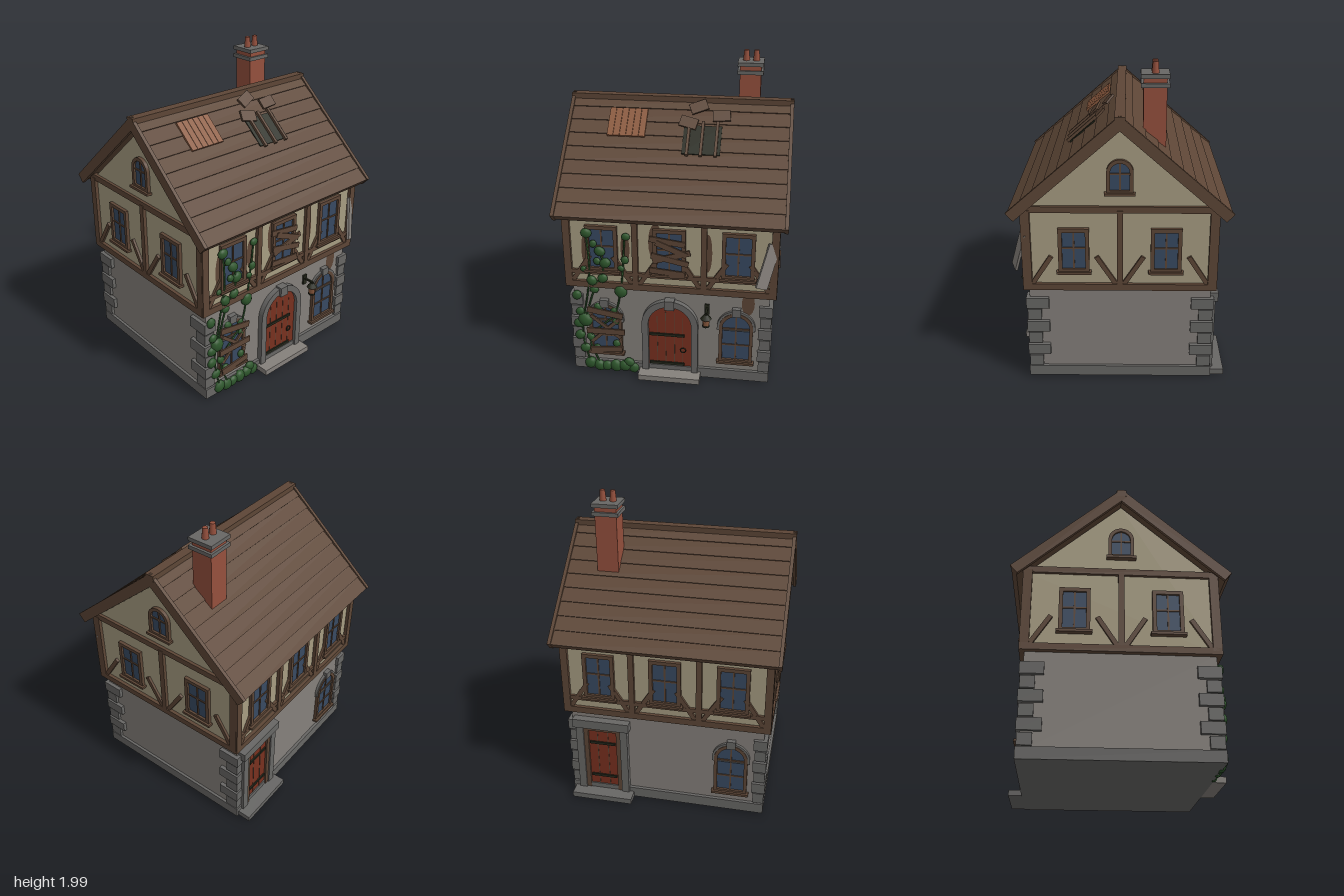
import * as THREE from 'three';

const mat = (name, color) => {
  const m = new THREE.MeshStandardMaterial({ color });
  m.name = name;
  return m;
};

export function createModel() {
  const stone = mat('wall stone', 0x85807b), trim = mat('trim stone', 0x686765);
  const plaster = mat('plaster', 0xa79d82), wood = mat('weathered wood', 0x5d4636);
  const patchMat = mat('new tile', 0x8b5a3e), brick = mat('brick', 0x95503d);
  const red = mat('door red', 0x78301f), glass = mat('glass', 0x384a62);
  const leaf = mat('leaf', 0x2d552b), iron = mat('dark iron', 0x23261a);

  const house = new THREE.Group();
  house.name = 'house';

  // ---- helpers ----
  const group = (parent, name) => {
    const g = new THREE.Group();
    g.name = name;
    parent.add(g);
    return g;
  };
  const add = (parent, name, geo, m, x = 0, y = 0, z = 0) => {
    const o = new THREE.Mesh(geo, m);
    o.name = name;
    o.position.set(x, y, z);
    parent.add(o);
    return o;
  };
  const box = (parent, name, m, w, h, d, x, y, z) =>
    add(parent, name, new THREE.BoxGeometry(w, h, d), m, x, y, z);
  // straight timber between two points on a wall face
  const plank = (parent, name, m, x1, y1, x2, y2, w, d, z) => {
    const o = box(parent, name, m, Math.hypot(x2 - x1, y2 - y1), w, d, (x1 + x2) / 2, (y1 + y2) / 2, z);
    o.rotation.z = Math.atan2(y2 - y1, x2 - x1);
    return o;
  };
  const extrude = (shape, depth) =>
    new THREE.ExtrudeGeometry(shape, { depth, bevelEnabled: false, curveSegments: 14 });
  // arched outline: half width r, foot y0, springing y1
  const arch = (r, y0, y1, C = THREE.Shape) => {
    const s = new C();
    s.moveTo(-r, y0);
    s.lineTo(r, y0);
    s.lineTo(r, y1);
    s.absarc(0, y1, r, 0, Math.PI, false);
    s.closePath();
    return s;
  };
  const archRing = (r, t, y0, y1, depth, bottom = 0) => {
    const s = arch(r, y0, y1);
    s.holes.push(arch(r - t, y0 + bottom, y1, THREE.Path));
    return extrude(s, depth);
  };
  // wall face: local z points outwards
  const face = (name, angle) => {
    const g = group(house, name);
    g.rotation.y = angle;
    return g;
  };

  // ---- windows ----
  const squareWindow = (parent, x, y0, w, h, z) => {
    const g = group(parent, 'window');
    g.position.set(x, y0, z);
    box(g, 'pane', glass, w - 0.03, h - 0.03, 0.008, 0, h / 2, 0.004);
    for (const s of [-1, 1]) {
      box(g, 'jamb', wood, 0.024, h, 0.022, s * (w / 2 - 0.012), h / 2, 0.011);
      box(g, 'rail', wood, w, 0.024, 0.022, 0, h / 2 + s * (h / 2 - 0.012), 0.011);
    }
    box(g, 'mullion', wood, 0.01, h - 0.04, 0.014, 0, h / 2, 0.007);
    box(g, 'glazingBar', wood, w - 0.04, 0.01, 0.014, 0, h * 0.55, 0.007);
    box(g, 'sill', wood, w + 0.025, 0.016, 0.036, 0, 0, 0.018);
  };
  const archedWindow = (parent, x, y0, r, spring, z, hood) => {
    const g = group(parent, 'archedWindow');
    g.position.set(x, 0, z);
    add(g, 'pane', extrude(arch(r - 0.012, y0 + 0.01, spring), 0.008), glass);
    add(g, 'frame', archRing(r, 0.022, y0, spring, 0.022, 0.022), wood);
    box(g, 'mullion', wood, 0.01, spring + r - y0 - 0.03, 0.014, 0, (spring + r + y0) / 2, 0.007);
    box(g, 'glazingBar', wood, 2 * r - 0.03, 0.01, 0.014, 0, spring - 0.01, 0.007);
    box(g, 'sill', wood, 2 * r + 0.025, 0.016, 0.036, 0, y0, 0.018);
    if (!hood) return;
    box(g, 'lowerGlazingBar', wood, 2 * r - 0.03, 0.01, 0.014, 0, (y0 + spring) / 2, 0.007);
    add(g, 'stoneHood', archRing(r + 0.014, 0.016, spring - 0.02, spring, 0.018), trim);
    box(g, 'keystone', trim, 0.055, 0.055, 0.03, 0, spring + r + 0.008, 0.015);
  };

  // ---- walls ----
  box(house, 'plinth', trim, 1.275, 0.07, 1.15, 0, 0.055, 0);
  box(house, 'groundFloorWall', stone, 1.24, 0.6, 1.11, 0, 0.36, 0);
  const section = new THREE.Shape([[-0.563, 0.655], [0.563, 0.655], [0.563, 1.16], [0, 1.655], [-0.563, 1.16]]
    .map(p => new THREE.Vector2(...p)));
  add(house, 'upperWall', extrude(section, 1.28).rotateY(Math.PI / 2).translate(-0.64, 0, 0), plaster);

  // corner stones, alternating long and short
  const quoins = group(house, 'quoins');
  for (let i = 0; i < 6; i++) {
    const long = i % 2, w = long ? 0.085 : 0.07, d = long ? 0.14 : 0.085, out = long ? 0.006 : 0;
    for (const sx of [-1, 1]) for (const sz of [-1, 1])
      box(quoins, 'quoin', trim, w, 0.072, d, sx * (0.638 + out - w / 2), 0.133 + i * 0.0825, sz * (0.57 + out - d / 2));
  }

  // ---- timber framing on the four sides ----
  const framing = (f, half, dist, posts, rail) => {
    const z = dist + 0.004;
    box(f, 'sillBeam', wood, 2 * half, 0.042, 0.036, 0, 0.67, z);
    box(f, 'topBeam', wood, 2 * half, 0.04, 0.03, 0, 1.175, z);
    if (rail) box(f, 'midRail', wood, 2 * half, 0.028, 0.026, 0, 0.755, z);
    posts.forEach((x, i) => {
      const edge = i === 0 || i === posts.length - 1;
      box(f, 'post', wood, edge ? 0.046 : 0.036, 0.5, 0.036, x, 0.92, z);
      if (i > 0) plank(f, 'brace', wood, x - 0.025, 0.69, x - 0.14, 0.87, 0.028, 0.024, z);
      if (i < posts.length - 1) plank(f, 'brace', wood, x + 0.025, 0.69, x + 0.14, 0.87, 0.028, 0.024, z);
    });
  };
  const front = face('frontSide', 0), back = face('backSide', Math.PI);
  for (const f of [front, back]) {
    framing(f, 0.66, 0.563, [-0.637, -0.212, 0.212, 0.637], true);
    for (const x of [-0.42, 0, 0.42]) squareWindow(f, x, 0.77, 0.2, 0.31, 0.563);
  }
  for (const s of [-1, 1]) {
    const f = face(s > 0 ? 'leftGableSide' : 'rightGableSide', s * Math.PI / 2);
    framing(f, 0.575, 0.64, [-0.552, 0, 0.552], false);
    for (const x of [-0.275, 0.275]) squareWindow(f, x, 0.77, 0.185, 0.285, 0.64);
    archedWindow(f, 0, 1.275, 0.078, 1.405, 0.64, false);
  }
  archedWindow(front, -0.42, 0.155, 0.107, 0.415, 0.555, true);
  archedWindow(front, 0.42, 0.155, 0.107, 0.415, 0.555, true);
  archedWindow(back, 0.42, 0.155, 0.107, 0.415, 0.555, true);

  // ---- front door ----
  const door = group(front, 'frontDoor');
  door.position.z = 0.555;
  add(door, 'doorLeaf', extrude(arch(0.142, 0.055, 0.405), 0.012), red);
  add(door, 'doorSurround', archRing(0.18, 0.042, 0.055, 0.405, 0.035), trim);
  for (const x of [-0.083, -0.028, 0.028, 0.083])
    box(door, 'plankGap', wood, 0.004, 0.45 - Math.abs(x) * 0.6, 0.004, x, 0.285 - Math.abs(x) * 0.3, 0.012);
  for (const y of [0.105, 0.325]) box(door, 'strapHinge', iron, 0.225, 0.018, 0.01, -0.02, y, 0.016);
  add(door, 'ringHandle', new THREE.TorusGeometry(0.017, 0.004, 6, 16), iron, 0.085, 0.215, 0.018);
  box(door, 'keystone', trim, 0.062, 0.065, 0.05, 0, 0.562, 0.025);
  box(front, 'frontStep', stone, 0.4, 0.037, 0.12, 0, 0.039, 0.6);

  // ---- back door ----
  const rear = group(back, 'backDoor');
  rear.position.set(-0.42, 0, 0.555);
  box(rear, 'doorLeaf', red, 0.22, 0.47, 0.012, 0, 0.3, 0.006);
  for (const s of [-1, 1]) {
    box(rear, 'stoneJamb', trim, 0.048, 0.49, 0.036, s * 0.146, 0.305, 0.018);
    box(rear, 'woodJamb', wood, 0.03, 0.49, 0.026, s * 0.108, 0.305, 0.013);
    box(rear, 'plankGap', wood, 0.005, 0.45, 0.004, s * 0.035, 0.3, 0.013);
  }
  box(rear, 'woodHead', wood, 0.22, 0.03, 0.026, 0, 0.53, 0.013);
  box(rear, 'stoneLintel', trim, 0.37, 0.06, 0.05, 0, 0.575, 0.025);
  for (const y of [0.16, 0.42]) box(rear, 'strapHinge', iron, 0.17, 0.018, 0.01, 0, y, 0.016);
  box(back, 'backStep', trim, 0.4, 0.037, 0.12, -0.42, 0.039, 0.6);

  // ---- roof: each slope is a group with z down the slope and y outwards ----
  const L = 0.868, N = 9, W = 1.39;
  const slopes = [0, Math.PI].map((a, k) => {
    const turn = group(house, k ? 'backRoof' : 'frontRoof');
    turn.rotation.y = a;
    const g = group(turn, 'slope');
    g.position.y = 1.735;
    g.rotation.x = 0.7208;
    const p = new THREE.Shape();
    p.moveTo(0, -0.045);
    p.lineTo(L, -0.045);
    for (let i = N; i > 0; i--) {
      p.lineTo(L * i / N, 0.004);
      p.lineTo(L * (i - 1) / N, -0.003);
    }
    p.closePath();
    add(g, 'roofCourses', extrude(p, W).rotateY(-Math.PI / 2).translate(W / 2, 0, 0), wood);
    for (const s of [-1, 1]) box(g, 'bargeBoard', wood, 0.022, 0.066, L + 0.004, s * 0.693, -0.022, L / 2);
    return g;
  });
  box(house, 'ridgeCap', wood, 1.41, 0.045, 0.06, 0, 1.72, 0);

  // repaired patch, hole with bare rafters, and slipped tiles
  const slope = slopes[0];
  for (let i = 0; i < 6; i++)
    box(slope, 'patchSlat', patchMat, 0.038, 0.014, 0.2, -0.42 + i * 0.04, 0.006, 0.205);
  box(slope, 'roofHole', iron, 0.235, 0.008, 0.2, 0.155, 0.003, 0.31);
  for (const x of [0.07, 0.155, 0.245]) box(slope, 'bareRafter', wood, 0.018, 0.02, 0.24, x, 0.014, 0.305);
  [[0.12, 0.085, 0.4], [0.065, 0.2, -0.25], [0.265, 0.145, 0.08]].forEach(([x, s, r]) => {
    const t = box(slope, 'slippedTile', wood, 0.11, 0.014, 0.07, x, 0.024, s);
    t.rotation.set(0.12, r, 0);
  });

  // ---- chimney ----
  const chimney = group(house, 'chimney');
  chimney.position.set(0.422, 0, -0.2);
  box(chimney, 'stack', brick, 0.135, 0.53, 0.135, 0, 1.655, 0);
  for (const y of [1.87, 1.922]) box(chimney, 'stoneBand', trim, 0.165, 0.024, 0.165, 0, y, 0);
  for (const s of [-1, 1])
    add(chimney, 'chimneyPot', new THREE.CylinderGeometry(0.016, 0.022, 0.07, 12), brick, s * 0.032, 1.965, 0);

  // ---- wall lantern ----
  const lamp = group(front, 'lantern');
  lamp.position.set(0.235, 0, 0.63);
  box(lamp, 'wallPlate', iron, 0.03, 0.07, 0.012, 0, 0.535, -0.07);
  box(lamp, 'bracket', iron, 0.012, 0.012, 0.08, 0, 0.545, -0.035);
  add(lamp, 'cap', new THREE.CylinderGeometry(0.012, 0.036, 0.03, 8), iron, 0, 0.525, 0);
  add(lamp, 'lanternBody', new THREE.CylinderGeometry(0.024, 0.02, 0.05, 8), patchMat, 0, 0.487, 0);
  add(lamp, 'base', new THREE.CylinderGeometry(0.024, 0.024, 0.01, 8), iron, 0, 0.459, 0);

  // ---- boarded windows ----
  [[-0.12, 1.02, 0.1, 0.99], [-0.1, 0.87, 0.13, 0.94], [-0.11, 0.91, 0.12, 0.86], [-0.08, 1.0, 0.11, 0.92],
    [-0.12, 0.81, 0.1, 0.79]].forEach(([a, b, c, d], i) =>
    plank(front, 'upperBoard', wood, a, b, c, d, 0.036, 0.01, 0.59 + i * 0.002));
  [[-0.53, 0.49, -0.3, 0.45], [-0.54, 0.33, -0.29, 0.33], [-0.52, 0.18, -0.31, 0.2], [-0.51, 0.24, -0.33, 0.42],
    [-0.51, 0.44, -0.32, 0.28]].forEach(([a, b, c, d], i) =>
    plank(front, 'lowerBoard', wood, a, b, c, d, i < 3 ? 0.04 : 0.022, 0.01, 0.583 + (i < 3 ? 0.008 : 0)));

  // broken shutter hanging at the corner
  const shutter = box(front, 'hangingShutter', stone, 0.075, 0.28, 0.016, 0.597, 0.89, 0.608);
  shutter.rotation.set(-0.16, 0.45, -0.27);

  // ---- damp stains on the walls ----
  [[-0.085, 0.98, 0.045, 0.13, 0.566], [0.235, 0.93, 0.026, 0.13, 0.566], [-0.275, 0.93, 0.028, 0.1, 0.566],
    [-0.52, 0.9, 0.03, 0.12, 0.566], [0.645, 0.93, 0.02, 0.12, 0.566], [0.49, 0.59, 0.04, 0.085, 0.557]]
    .forEach(([x, y, rx, ry, z]) =>
      add(front, 'dampStain', new THREE.CircleGeometry(1, 18), wood, x, y, z).scale.set(rx, ry, 1));

  // ---- climbing ivy ----
  const ivy = group(front, 'ivy');
  const clump = new THREE.IcosahedronGeometry(1, 1);
  [[-0.51, 1.03, 0.036], [-0.47, 0.96, 0.026], [-0.43, 0.91, 0.036], [-0.4, 0.83, 0.038], [-0.45, 0.84, 0.026],
    [-0.265, 1.02, 0.028], [-0.275, 0.86, 0.028], [-0.3, 0.8, 0.022], [-0.54, 0.78, 0.02], [-0.49, 0.7, 0.036],
    [-0.42, 0.72, 0.034], [-0.31, 0.63, 0.046], [-0.48, 0.63, 0.03], [-0.595, 0.58, 0.034], [-0.46, 0.5, 0.03],
    [-0.58, 0.46, 0.03], [-0.55, 0.4, 0.052], [-0.59, 0.37, 0.038], [-0.36, 0.48, 0.024], [-0.35, 0.4, 0.024],
    [-0.59, 0.28, 0.036], [-0.52, 0.27, 0.03], [-0.56, 0.18, 0.036], [-0.35, 0.23, 0.028], [-0.48, 0.19, 0.026],
    [-0.53, 0.065, 0.044], [-0.47, 0.05, 0.044], [-0.42, 0.05, 0.04], [-0.36, 0.055, 0.045], [-0.3, 0.06, 0.044],
    [-0.24, 0.05, 0.038], [-0.27, 0.09, 0.036]]
    .forEach(([x, y, r], i) => {
      const c = add(ivy, 'leafClump', clump, leaf, x, y, y > 0.65 ? 0.585 : 0.575);
      c.scale.set(r, r * 0.9, r * 0.6);
      c.rotation.z = i * 1.3;
    });
  [[[-0.53, 0.06], [-0.57, 0.3], [-0.52, 0.62], [-0.5, 0.8], [-0.51, 1.03]],
    [[-0.46, 0.05], [-0.52, 0.27], [-0.36, 0.45], [-0.31, 0.63], [-0.27, 1.02]],
    [[-0.55, 0.4], [-0.48, 0.63], [-0.41, 0.8], [-0.43, 0.92]]].forEach(pts => {
    const curve = new THREE.CatmullRomCurve3(pts.map(([x, y]) => new THREE.Vector3(x, y, y > 0.64 ? 0.588 : 0.578)));
    add(ivy, 'stem', new THREE.TubeGeometry(curve, 24, 0.006, 5), leaf);
  });

  return house;
}
